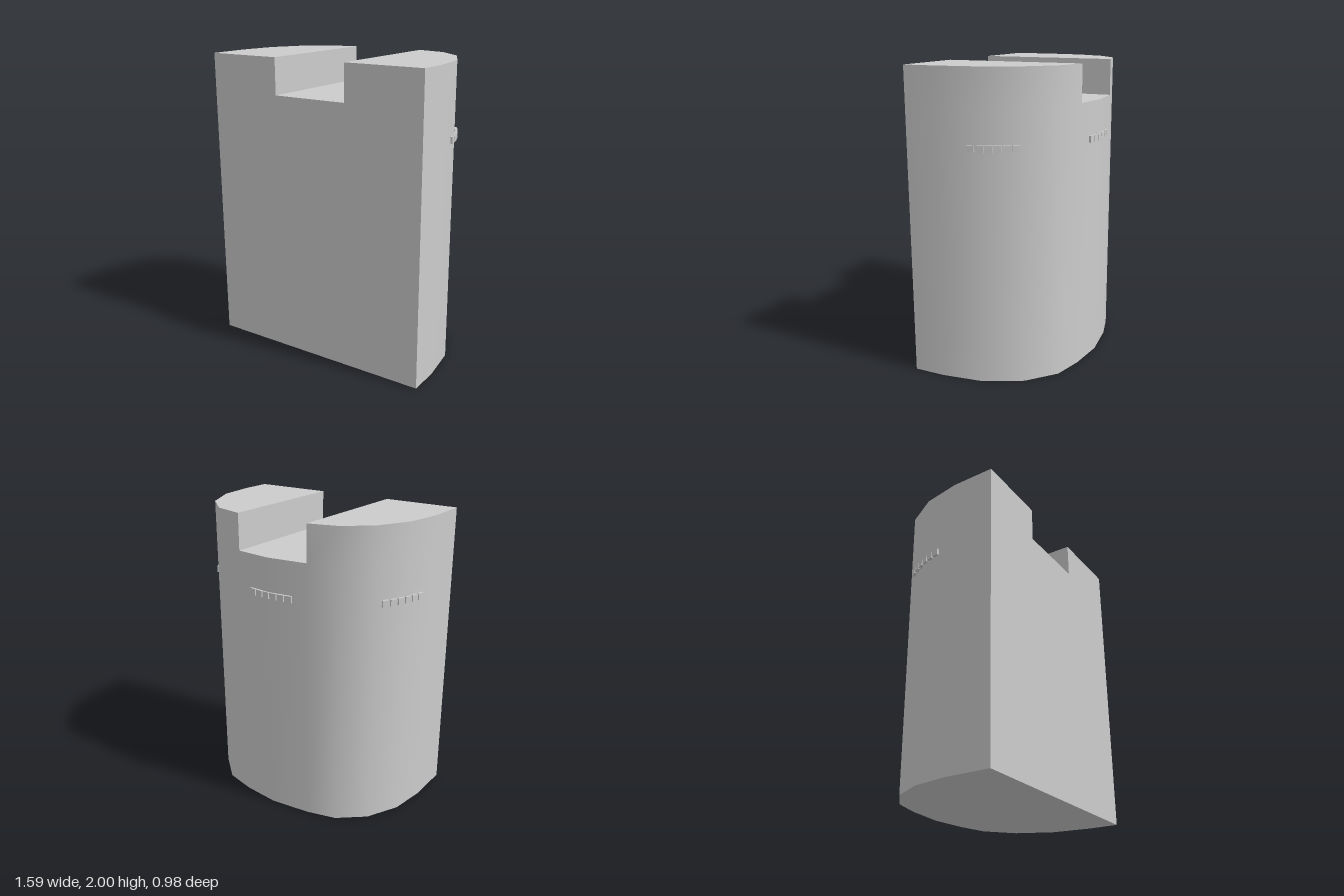
import * as THREE from 'three';
import { toCreasedNormals } from 'three/addons/utils/BufferGeometryUtils.js';

const FRONT = 0.49, NOTCH = 1.76, TOP = 2;

// Footprint of the curved back wall [x, z], from right front corner to left front corner
const outline = [
  [-0.79, 0.49], [-0.79, 0.2], [-0.75, -0.05], [-0.64, -0.26], [-0.47, -0.4], [-0.275, -0.45],
  [0, -0.48], [0.25, -0.45], [0.455, -0.395], [0.635, -0.235], [0.755, 0.01], [0.79, 0.28], [0.79, 0.49],
];
const NOTCH_START = 5, NOTCH_END = 7; // outline indices at the notch sides

function bodyGeometry() {
  const pos = [];
  const quad = (a, b, c, d) => pos.push(...a, ...b, ...c, ...a, ...c, ...d);
  const strip = (ax, az, bx, bz, y0, y1) => { // wall over one outline segment
    quad([bx, y0, bz], [ax, y0, az], [ax, y1, az], [bx, y1, bz]);
    if (ax !== bx) quad([ax, y0, FRONT], [bx, y0, FRONT], [bx, y1, FRONT], [ax, y1, FRONT]);
  };
  for (let i = 0; i < outline.length - 1; i++) {
    const [ax, az] = outline[i], [bx, bz] = outline[i + 1];
    const inNotch = i >= NOTCH_START && i < NOTCH_END;
    const h = inNotch ? NOTCH : TOP;
    strip(ax, az, bx, bz, 0, NOTCH);
    if (!inNotch) strip(ax, az, bx, bz, NOTCH, TOP);
    if (ax === bx) continue;
    // underside and top
    quad([ax, 0, FRONT], [ax, 0, az], [bx, 0, bz], [bx, 0, FRONT]);
    quad([ax, h, FRONT], [bx, h, FRONT], [bx, h, bz], [ax, h, az]);
  }
  // inner sides of the notch
  const [lx, lz] = outline[NOTCH_START], [rx, rz] = outline[NOTCH_END];
  quad([lx, NOTCH, FRONT], [lx, NOTCH, lz], [lx, TOP, lz], [lx, TOP, FRONT]);
  quad([rx, NOTCH, rz], [rx, NOTCH, FRONT], [rx, TOP, FRONT], [rx, TOP, rz]);

  const g = new THREE.BufferGeometry();
  g.setAttribute('position', new THREE.Float32BufferAttribute(pos, 3));
  return toCreasedNormals(g, 0.65);
}

// Row of six small blocks along an arc; angle is the outward heading at the row's middle
function blockRow(name, x, z, angle, radius, material) {
  const row = new THREE.Group();
  row.name = name;
  const geometry = new THREE.BoxGeometry(0.047, 0.043, 0.017);
  for (let i = 0; i < 6; i++) {
    const a = angle + ((i - 2.5) * 0.055) / radius;
    const block = new THREE.Mesh(geometry, material);
    block.name = 'block';
    block.position.set(
      x + radius * (Math.sin(a) - Math.sin(angle)), 1.518,
      z + radius * (Math.cos(a) - Math.cos(angle)));
    block.rotation.y = a;
    row.add(block);
  }
  return row;
}

export function createModel() {
  const model = new THREE.Group();
  model.name = 'notchedTower';
  const grey = new THREE.MeshStandardMaterial({ color: 0xcccccc });
  grey.name = 'light grey';

  const body = new THREE.Mesh(bodyGeometry(), grey);
  body.name = 'towerBody';
  model.add(body);

  const side = Math.atan2(0.93, -0.37);
  model.add(
    blockRow('leftBlocks', 0.725, -0.077, side, 0.74, grey),
    blockRow('rightBlocks', -0.744, -0.077, -side, 0.74, grey),
    blockRow('backBlocks', -0.012, -0.482, Math.PI, 0.9, grey));
  return model;
}
